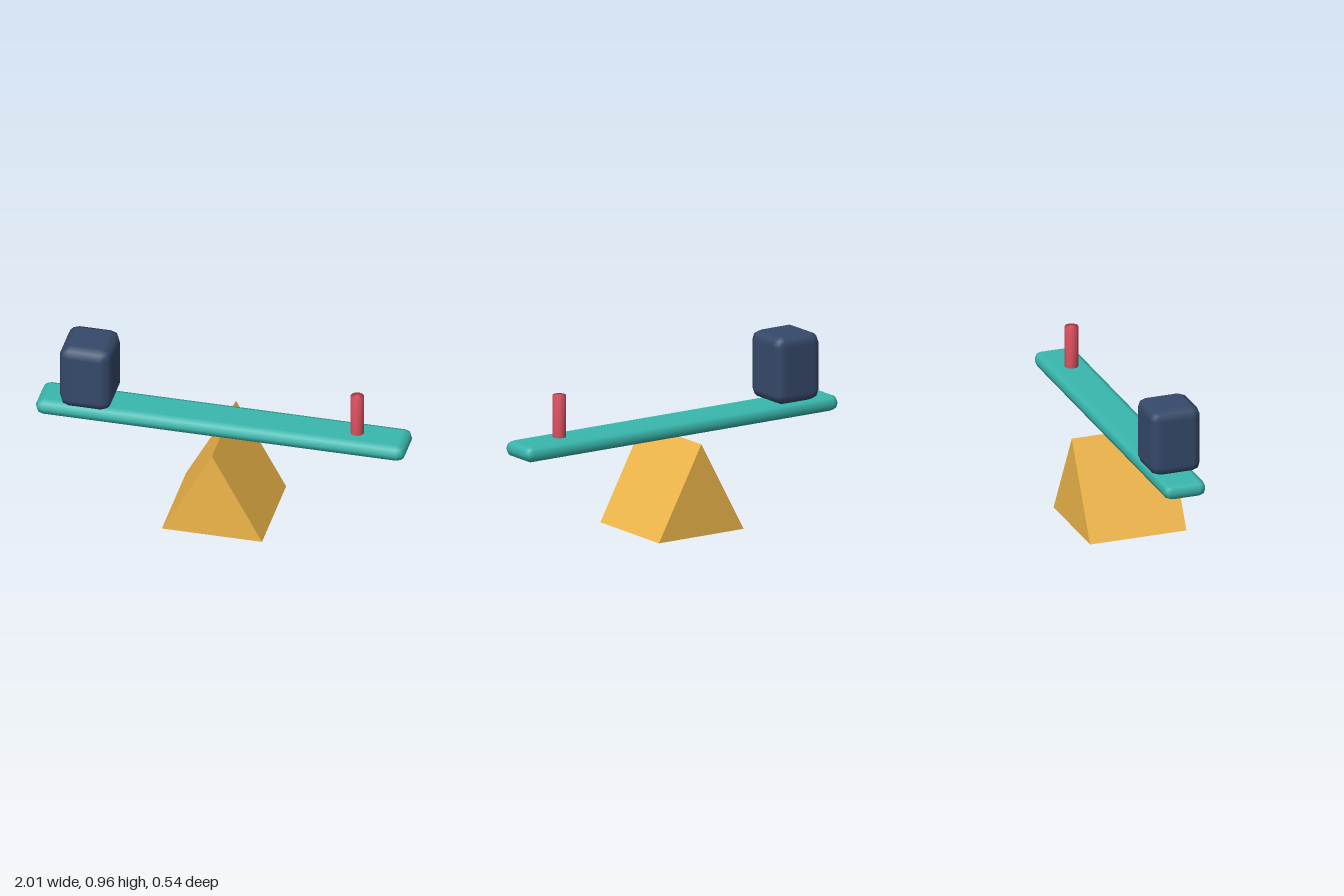
import * as THREE from 'three';
import { RoundedBoxGeometry } from 'three/addons/geometries/RoundedBoxGeometry.js';
import { mergeVertices } from 'three/addons/utils/BufferGeometryUtils.js';

export function createModel() {
  const model = new THREE.Group();
  model.name = 'seesaw';

  function add(name, geometry, color, x, y, flatShading = false) {
    const material = new THREE.MeshStandardMaterial({ color, flatShading });
    const mesh = new THREE.Mesh(geometry, material);
    mesh.name = name;
    mesh.position.set(x, y, 0);
    model.add(mesh);
    return mesh;
  }

  // Triangular prism that carries the plank
  const half = 0.272;
  const triangle = new THREE.Shape([
    new THREE.Vector2(-half, 0),
    new THREE.Vector2(half, 0),
    new THREE.Vector2(0, 0.5),
  ]);
  const prism = new THREE.ExtrudeGeometry(triangle, { depth: 2 * half, bevelEnabled: false });
  prism.translate(0, 0, -half);
  add('fulcrum', prism, 0xf2b84b, 0, 0, true);

  // Level plank with coarse rounded edges
  add('plank', new RoundedBoxGeometry(2.0087, 0.09, 0.236, 1, 0.045), 0x39b8ae, 0, 0.5455);

  // Heavy block on the right end
  add('heavyBlock', new RoundedBoxGeometry(0.282, 0.372, 0.283, 1, 0.055), 0x364a6b, -0.728, 0.772);

  // Slim peg on the left end, with normals smoothed over the rims
  const peg = new THREE.CylinderGeometry(0.036, 0.036, 0.229, 20);
  peg.deleteAttribute('normal');
  peg.deleteAttribute('uv');
  const smoothPeg = mergeVertices(peg);
  smoothPeg.computeVertexNormals();
  add('peg', smoothPeg, 0xe35263, 0.724, 0.7045);

  return model;
}
